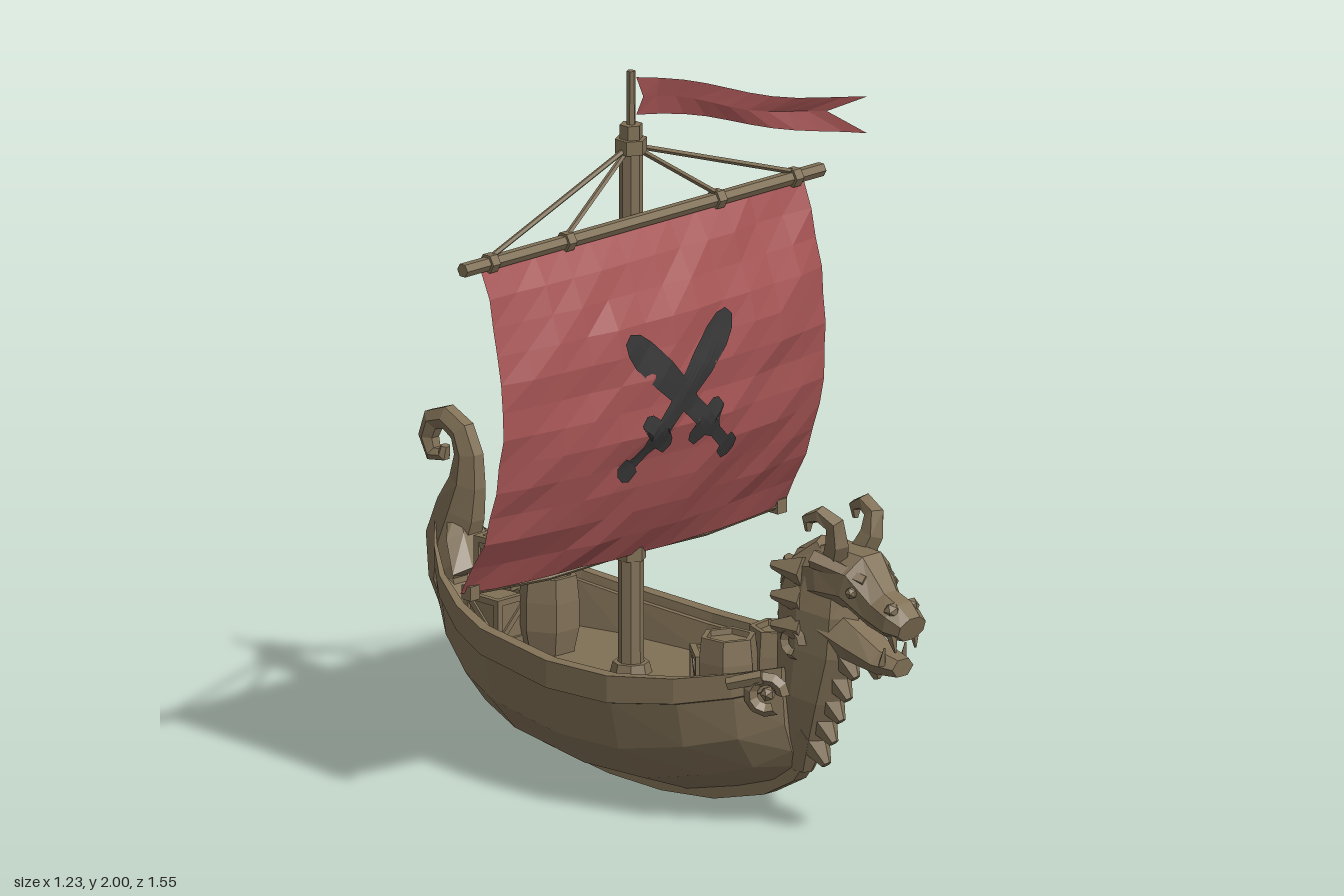
import * as THREE from 'three';

const mat = (name, color, side = THREE.FrontSide) => {
  const m = new THREE.MeshStandardMaterial({ color, flatShading: true, side });
  m.name = name;
  return m;
};
const wood = mat('wood', 0x807056);
const cloth = mat('red cloth', 0xa65454, THREE.DoubleSide);
const black = mat('black paint', 0x363636, THREE.DoubleSide);
const V = (x, y, z) => new THREE.Vector3(x, y, z);

// Skin a list of equal rings (counter-clockwise about the travel direction), with end caps
function loft(rings, cap = true, closed = true) {
  const n = rings[0].length, pos = [], idx = [];
  rings.forEach(r => r.forEach(p => pos.push(p.x, p.y, p.z)));
  for (let i = 0; i < rings.length - 1; i++)
    for (let j = 0; j < (closed ? n : n - 1); j++) {
      const k = (j + 1) % n, a = i * n + j, b = i * n + k;
      idx.push(a, b, b + n, a, b + n, a + n);
    }
  if (cap) for (let j = 1; j < n - 1; j++) {
    const e = (rings.length - 1) * n;
    idx.push(0, j + 1, j, e, e + j, e + j + 1);
  }
  const g = new THREE.BufferGeometry();
  g.setAttribute('position', new THREE.Float32BufferAttribute(pos, 3));
  g.setIndex(idx);
  const flat = g.toNonIndexed();
  flat.computeVertexNormals();
  return flat;
}

// Sweep a polygon through stations [x, y, z, halfWidth, halfThickness]
function sweep(st, sides = 6, phase = 0) {
  const p = st.map(s => V(s[0], s[1], s[2]));
  return loft(st.map((s, i) => {
    const T = p[Math.min(i + 1, p.length - 1)].clone().sub(p[Math.max(i - 1, 0)]).normalize();
    const U = V(1, 0, 0).addScaledVector(T, -T.x).normalize(), W = T.clone().cross(U);
    return Array.from({ length: sides }, (_, j) => {
      const a = phase + j / sides * Math.PI * 2;
      return p[i].clone().addScaledVector(U, Math.cos(a) * s[3]).addScaledVector(W, Math.sin(a) * s[4]);
    });
  }));
}

// Straight rod or spike between two points
function rod(a, b, r0, r1 = r0, sides = 6) {
  const d = b.clone().sub(a), g = new THREE.CylinderGeometry(r1, r0, d.length(), sides);
  g.applyQuaternion(new THREE.Quaternion().setFromUnitVectors(V(0, 1, 0), d.clone().normalize()));
  return g.translate(...a.clone().add(b).multiplyScalar(0.5).toArray());
}

// Sail surface: a regular grid of creased heights, interpolated per triangle
const N = 12, HALF = 0.612, LOW = 0.642, HIGH = 1.575;
const hash = (i, j) => { const s = Math.sin(i * 12.99 + j * 78.23) * 43758.55; return s - Math.floor(s) - 0.5; };
function sailNode(i, j) {
  const u = i / N * 2 - 1, v = j / N, arch = 4 * v * (1 - v);
  const crease = j === N ? 0 : 0.016 * hash(i, j) + 0.014 * hash(Math.floor(i / 4), j + 40);
  return -0.168 + 0.068 * v + 0.118 * arch + 0.062 * (1 - u * u) * (1 - v ** 4) + crease;
}
function sailZ(x, y) {
  const fi = (x / HALF + 1) / 2 * N, fj = (y - LOW) / (HIGH - LOW) * N;
  const i = Math.min(Math.floor(fi), N - 1), j = Math.min(Math.floor(fj), N - 1), a = fi - i, b = fj - j;
  const z00 = sailNode(i, j), z11 = sailNode(i + 1, j + 1);
  if (a > b) { const z = sailNode(i + 1, j); return z00 + a * (z - z00) + b * (z11 - z); }
  const z = sailNode(i, j + 1);
  return z00 + b * (z - z00) + a * (z11 - z);
}

export function createModel() {
  const ship = new THREE.Group();
  ship.name = 'ship';
  const add = (name, geo, m = wood, parent = ship) => {
    const mesh = new THREE.Mesh(geo, m);
    mesh.name = name;
    parent.add(mesh);
    return mesh;
  };

  // Hull stations: [z, half beam, rail height, keel height]
  const hull = [[-0.87, 0.03, 0.58, 0.4], [-0.8, 0.1, 0.54, 0.28], [-0.7, 0.175, 0.49, 0.185],
    [-0.56, 0.245, 0.45, 0.1], [-0.42, 0.29, 0.425, 0.055], [-0.13, 0.325, 0.405, 0.02], [0.1, 0.32, 0.41, 0.025],
    [0.3, 0.265, 0.432, 0.075], [0.44, 0.185, 0.458, 0.12], [0.53, 0.085, 0.475, 0.18]];
  add('hull', loft(hull.map(([z, w, r, k]) => {
    const h = r - k, deck = Math.max(0.3, k + 0.5 * h);
    const side = [[0.06, k], [0.58, k + 0.17 * h], [0.89, k + 0.44 * h], [0.98, k + 0.79 * h], [1.03, k + 0.8 * h],
      [1.03, r], [0.91, r], [0.9, r - 0.025], [0.85, r - 0.025], [0.8, deck]].map(([f, y]) => V(f * w, y, z));
    return [...side, ...side.slice().reverse().map(p => V(-p.x, p.y, z))];
  })));
  add('keel', sweep([[0.53, 0.19], [0.5, 0.15], [0.39, 0.09], [0.2, 0.038], [0, 0.018], [-0.2, 0.022], [-0.45, 0.055],
    [-0.6, 0.115], [-0.745, 0.225], [-0.84, 0.34], [-0.87, 0.42]].map(([z, y]) => [0, y, z, 0.035, 0.025]), 4, Math.PI / 4));

  // Curled stern post and the knee that braces it inside the hull
  add('sternPost', sweep([[-0.81, 0.31, 0.04, 0.035], [-0.85, 0.42, 0.055, 0.055], [-0.835, 0.52, 0.058, 0.085],
    [-0.8, 0.62, 0.05, 0.08], [-0.775, 0.7, 0.042, 0.058],
    [-0.77, 0.78, 0.036, 0.045], [-0.795, 0.84, 0.034, 0.04], [-0.85, 0.868, 0.032, 0.037],
    [-0.905, 0.85, 0.03, 0.034], [-0.925, 0.8, 0.028, 0.03], [-0.905, 0.755, 0.026, 0.026], [-0.865, 0.76, 0.022, 0.02],
    [-0.86, 0.785, 0.015, 0.012]].map(([z, y, w, t]) => [0, y, z, w, t]), 6));
  add('sternKnee', sweep([[0, 0.62, -0.82, 0.03, 0.03], [0, 0.55, -0.78, 0.075, 0.04], [0, 0.47, -0.72, 0.11, 0.03]], 6));

  // Dragon figurehead
  const dragon = new THREE.Group();
  dragon.name = 'figurehead';
  ship.add(dragon);
  const part = (name, geo) => add(name, geo, wood, dragon);
  part('neck', sweep([[0, 0.17, 0.52, 0.03, 0.035], [0, 0.27, 0.53, 0.055, 0.075], [0, 0.4, 0.555, 0.08, 0.11],
    [0, 0.54, 0.585, 0.092, 0.135], [0, 0.66, 0.6, 0.1, 0.14], [0, 0.76, 0.62, 0.085, 0.115], [0, 0.82, 0.65, 0.05, 0.06]], 8));
  part('skull', sweep([[0, 0.73, 0.55, 0.08, 0.08], [0, 0.755, 0.66, 0.1, 0.09], [0, 0.755, 0.76, 0.092, 0.09],
    [0, 0.69, 0.83, 0.062, 0.066], [0, 0.67, 0.9, 0.068, 0.058], [0, 0.655, 0.945, 0.052, 0.038]], 8, Math.PI / 8));
  part('lowerJaw', sweep([[0, 0.62, 0.62, 0.085, 0.08], [0, 0.575, 0.74, 0.068, 0.06], [0, 0.543, 0.84, 0.055, 0.04],
    [0, 0.538, 0.91, 0.04, 0.028]], 6));
  part('beard', rod(V(0, 0.54, 0.8), V(0, 0.485, 0.81), 0.04, 0.01, 5));
  for (let i = 0; i < 5; i++) {
    const y = 0.235 + i * 0.067, z = 0.56 + i * 0.028;
    part('throatSpike', rod(V(0, y + 0.045, z - 0.015), V(0, y - 0.035, z + 0.055), 0.062, 0.014, 6));
  }
  for (let i = 0; i < 3; i++)
    part('napeSpike', rod(V(0, 0.56 + i * 0.08, 0.5), V(0, 0.6 + i * 0.08, 0.437 + i * 0.012), 0.055, 0.012, 5));
  for (const s of [-1, 1]) {
    part('horn', sweep([[s * 0.045, 0.79, 0.69, 0.036, 0.04], [s * 0.065, 0.865, 0.725, 0.034, 0.034],
      [s * 0.075, 0.92, 0.725, 0.03, 0.028], [s * 0.085, 0.94, 0.68, 0.026, 0.024], [s * 0.09, 0.92, 0.635, 0.02, 0.018],
      [s * 0.09, 0.885, 0.635, 0.008, 0.008]], 5));
    part('brow', rod(V(s * 0.095, 0.815, 0.66), V(s * 0.045, 0.77, 0.81), 0.028, 0.018, 5));
    part('eye', new THREE.IcosahedronGeometry(0.018).translate(s * 0.078, 0.74, 0.79));
    part('nostril', new THREE.IcosahedronGeometry(0.024).translate(s * 0.036, 0.705, 0.905));
    part('fang', rod(V(s * 0.042, 0.64, 0.91), V(s * 0.038, 0.59, 0.92), 0.016, 0.003, 4));
    part('lowerFang', rod(V(s * 0.04, 0.545, 0.87), V(s * 0.04, 0.595, 0.88), 0.013, 0.003, 4));
    for (let i = 0; i < 3; i++)
      part('mane', rod(V(s * 0.07, 0.76 - i * 0.08, 0.6), V(s * 0.1, 0.765 - i * 0.085, 0.505), 0.045, 0.012, 5));
    part('cheekScroll', new THREE.TorusGeometry(0.035, 0.016, 4, 8, 5).rotateY(s * Math.PI / 2).translate(s * 0.092, 0.56, 0.58));
    // Scroll where the rail meets the neck
    part('railScroll', new THREE.TorusGeometry(0.045, 0.019, 4, 9, 5.2).rotateY(s * (Math.PI / 2 - 0.65)).translate(s * 0.13, 0.405, 0.515));
    part('railScrollCore', new THREE.IcosahedronGeometry(0.022).translate(s * 0.125, 0.405, 0.515));
    part('railScrollArm', rod(V(s * 0.195, 0.43, 0.43), V(s * 0.14, 0.455, 0.51), 0.018, 0.02, 5));
  }

  // Mast and yard
  const MZ = -0.142, YZ = -0.1, YY = 1.587;
  add('mast', rod(V(0, 0.29, MZ), V(0, 1.8, MZ), 0.036, 0.032, 8));
  add('mastFoot', rod(V(0, 0.29, MZ), V(0, 0.33, MZ), 0.06, 0.05, 8));
  add('mastCap', rod(V(0, 1.77, MZ), V(0, 1.81, MZ), 0.045, 0.045, 6));
  add('mastCollar', rod(V(0, 1.8, MZ), V(0, 1.85, MZ), 0.032, 0.032, 6));
  add('topPole', rod(V(0, 1.84, MZ), V(0, 2, MZ), 0.013, 0.012, 6));
  add('mastBand', rod(V(0, 0.62, MZ), V(0, 0.66, MZ), 0.042, 0.042, 6));
  add('yard', rod(V(-0.68, YY, YZ), V(0.68, YY, YZ), 0.02, 0.02, 6));
  for (const x of [-0.575, -0.285, 0.285, 0.575]) {
    add('yardBand', rod(V(x - 0.014, YY, YZ), V(x + 0.014, YY, YZ), 0.028, 0.028, 6));
    add('stay', rod(V(0, 1.79, MZ), V(x, YY + 0.015, YZ), 0.008, 0.008, 5));
  }
  for (const s of [-1, 1]) {
    add('sailBlock', new THREE.BoxGeometry(0.035, 0.04, 0.035).translate(s * 0.582, 0.643, -0.168));
    add('sheetRope', rod(V(s * 0.582, 0.643, -0.165), V(s * 0.3, 0.625, -0.16), 0.008, 0.008, 5));
    add('sheetRope', rod(V(s * 0.3, 0.625, -0.16), V(0, 0.64, MZ), 0.008, 0.008, 5));
  }

  // Sail
  add('sail', loft(Array.from({ length: N + 1 }, (_, j) => Array.from({ length: N + 1 }, (_, i) =>
    V((i / N * 2 - 1) * HALF, LOW + j / N * (HIGH - LOW), sailNode(i, j)))), false, false), cloth);

  // Crossed swords painted on both faces: [distance from tip, half width]
  const blade = [[0, 0.016], [0.03, 0.036], [0.08, 0.045], [0.17, 0.045], [0.25, 0.038], [0.33, 0.03], [0.375, 0.03],
    [0.38, 0.06], [0.395, 0.074], [0.425, 0.07], [0.435, 0.03], [0.46, 0.018], [0.51, 0.018], [0.515, 0.034], [0.55, 0.034], [0.565, 0.014]];
  for (const s of [-1, 1]) for (const off of [-0.005, 0.005]) {
    const c = Math.SQRT1_2;
    add('sword', loft(blade.map(([d, w]) => Array.from({ length: 7 }, (_, k) => {
      const q = (k / 3 - 1) * w, t = 0.275 - d, x = 0.018 + s * (t + q) * c, y = 1.118 + (t - q) * c;
      return V(x, y, sailZ(x, y) + off);
    })), false, false), black);
  }

  // Swallow-tailed pennant
  add('pennant', loft(Array.from({ length: 11 }, (_, i) => [-1, 0, 1].map(k => {
    const t = i / 10, d = 0.015 + t * (k ? 0.655 : 0.54) + (i === 0 && !k ? 0.02 : 0);
    const wave = 0.014 * Math.sin(t * 8);
    return V(d * 0.46 + wave * 0.88, 1.93 + k * (0.053 - 0.008 * Math.sin(t * 3)) + 0.006 * Math.sin(t * 7), MZ + d * 0.885 - wave * 0.46);
  })), false, false), cloth);

  // Cargo
  const barrelShape = [[0, 0], [0.07, 0], [0.085, 0.07], [0.085, 0.15], [0.078, 0.218], [0.062, 0.218], [0.06, 0.202], [0, 0.202]];
  for (const [x, z, a] of [[-0.07, 0.306, 0.1], [0.085, 0.34, 0.7], [-0.01, -0.448, 0.5]]) {
    const b = add('barrel', new THREE.LatheGeometry(barrelShape.map(p => new THREE.Vector2(...p)), 6));
    b.position.set(x, 0.298, z);
    b.rotation.y = a;
  }
  const crate = (x, y, z, a) => {
    const g = new THREE.Group(), h = 0.058;
    g.name = 'crate';
    g.position.set(x, y + 0.066, z);
    g.rotation.y = a;
    add('crateBox', new THREE.BoxGeometry(0.114, 0.114, 0.114), wood, g);
    for (const p of [-h, h]) for (const q of [-h, h]) {
      add('crateEdge', new THREE.BoxGeometry(0.132, 0.017, 0.017).translate(0, p, q), wood, g);
      add('crateEdge', new THREE.BoxGeometry(0.017, 0.132, 0.017).translate(p, 0, q), wood, g);
      add('crateEdge', new THREE.BoxGeometry(0.017, 0.017, 0.132).translate(p, q, 0), wood, g);
    }
    for (const p of [-h, h]) {
      add('crateBrace', new THREE.BoxGeometry(0.15, 0.016, 0.01).rotateZ(0.785).translate(0, 0, p), wood, g);
      add('crateBrace', new THREE.BoxGeometry(0.01, 0.016, 0.15).rotateX(0.785).translate(p, 0, 0), wood, g);
    }
    ship.add(g);
  };
  crate(0.01, 0.298, 0.18, -0.65);
  crate(-0.08, 0.318, -0.574, 0);
  crate(0.078, 0.318, -0.58, -0.6);
  crate(0.007, 0.45, -0.625, 0.1);

  // Turn the ship to its heading
  ship.rotation.y = 0.651;
  const root = new THREE.Group();
  root.name = 'sailingShip';
  root.add(ship);
  return root;
}
